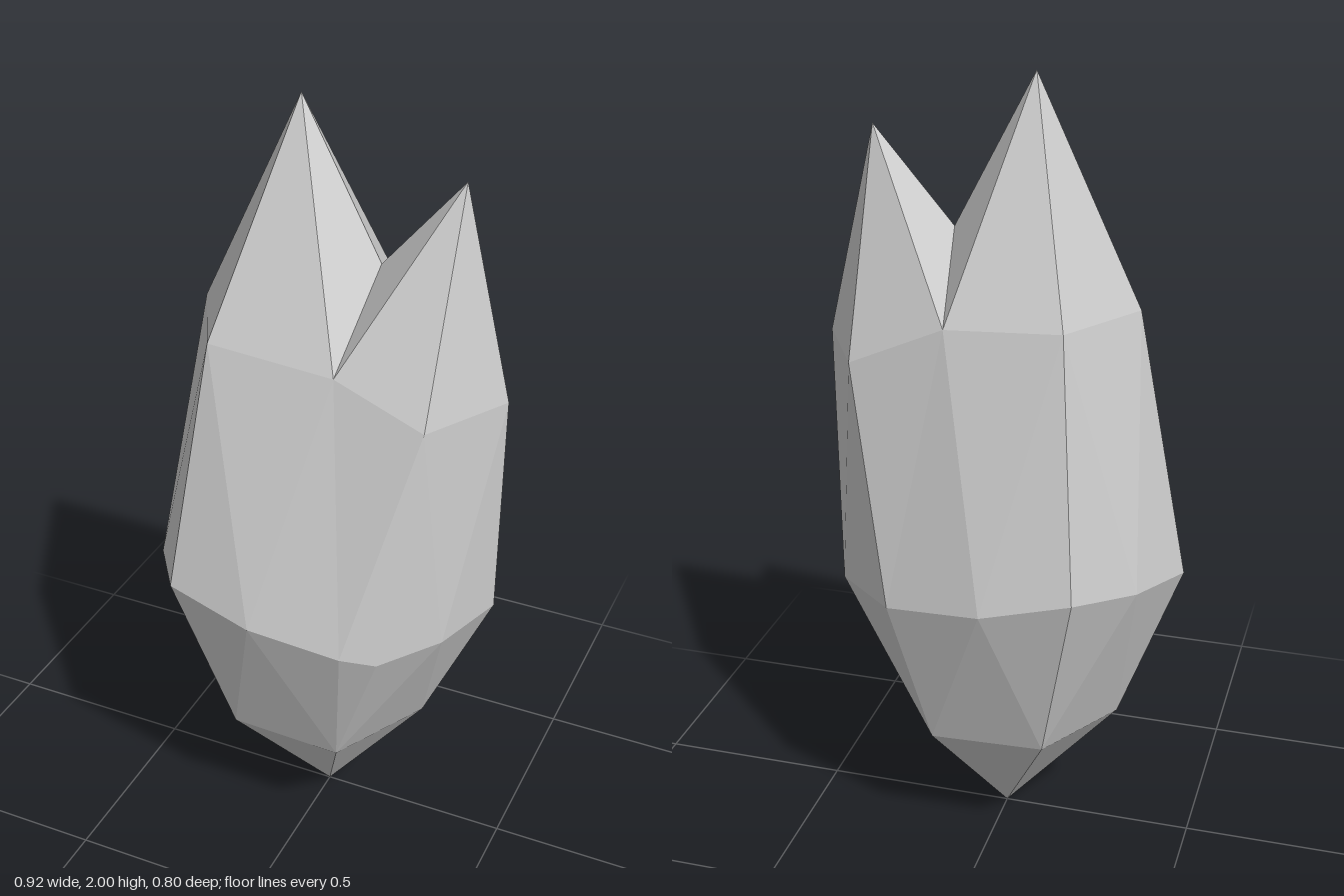
import * as THREE from 'three';

const material = new THREE.MeshStandardMaterial({ color: 0xcccccc, flatShading: true });
const foot = [0, 0, 0];
const tallPeak = [-0.07, 2, 0], shortPeak = [0.33, 1.855, 0], saddle = [0.13, 1.62, 0];

// Half rings, each running from -x to +x; the back half mirrors z.
function halfRings(side) {
  const front = side > 0;
  const place = ([x, y, z]) => [x, y, z * side];
  const lower = [[-0.30, 0.34, 0], [-0.16, 0.35, 0.25], [0.13, 0.34, 0.25], [0.27, 0.345, 0]];
  const corner = front ? [[0.19, 0.75, 0.37], [0.27, 0.73, 0.33]] : [[0.21, 0.75, 0.34]];
  const middle = [[-0.46, 0.77, 0], [-0.38, 0.80, 0.20], [-0.26, 0.84, 0.375], [-0.04, 0.79, 0.40],
    ...corner, [0.38, 0.73, 0.178], [0.45, 0.745, 0]];
  const notch = front ? [0.105, 1.42, 0.215] : [0.085, 1.445, 0.245];
  const upper = [[-0.33, 1.45, 0], [-0.20, 1.46, 0.245], notch, [0.33, 1.33, 0.217], [0.455, 1.33, 0]];
  return { lower: lower.map(place), middle: middle.map(place), upper: upper.map(place) };
}

// Joins two rings with triangles; each letter steps along the upper (u) or lower (l) ring.
function bridge(lower, upper, steps) {
  const tris = [];
  let l = 0, u = 0;
  for (const step of steps) {
    if (step === 'l') tris.push([lower[l], lower[++l], upper[u]]);
    else tris.push([lower[l], upper[u + 1], upper[u++]]);
  }
  return tris;
}

// Triangles from a run of points to one peak above it
const fan = (run, peak) => bridge(run, [peak], 'l'.repeat(run.length - 1));

function addPart(group, name, build) {
  const positions = [];
  for (const side of [1, -1]) {
    for (const [a, b, c] of build(halfRings(side), side)) {
      positions.push(...(side > 0 ? [a, b, c] : [a, c, b]).flat());
    }
  }
  const geometry = new THREE.BufferGeometry();
  geometry.setAttribute('position', new THREE.Float32BufferAttribute(positions, 3));
  geometry.computeVertexNormals();
  const mesh = new THREE.Mesh(geometry, material);
  mesh.name = name;
  group.add(mesh);
}

export function createModel() {
  const group = new THREE.Group();
  group.name = 'crystal';

  // Pointed foot
  addPart(group, 'foot', ({ lower }) => bridge([foot], lower, 'uuu'));

  // Flaring facets up to the widest ring
  addPart(group, 'lowerBody', ({ lower, middle }, side) =>
    bridge(lower, middle, side > 0 ? 'uluuluuulu' : 'uluuluulu'));

  // Long facets up to the shoulders
  addPart(group, 'upperBody', ({ middle, upper }, side) =>
    bridge(middle, upper, side > 0 ? 'lullululluł'.replace('ł', 'l') : 'lullululul'));

  // Two peaks divided by a valley
  addPart(group, 'tallTip', ({ upper }) => fan([...upper.slice(0, 3), saddle], tallPeak));
  addPart(group, 'shortTip', ({ upper }) => fan([saddle, ...upper.slice(2)], shortPeak));

  return group;
}
